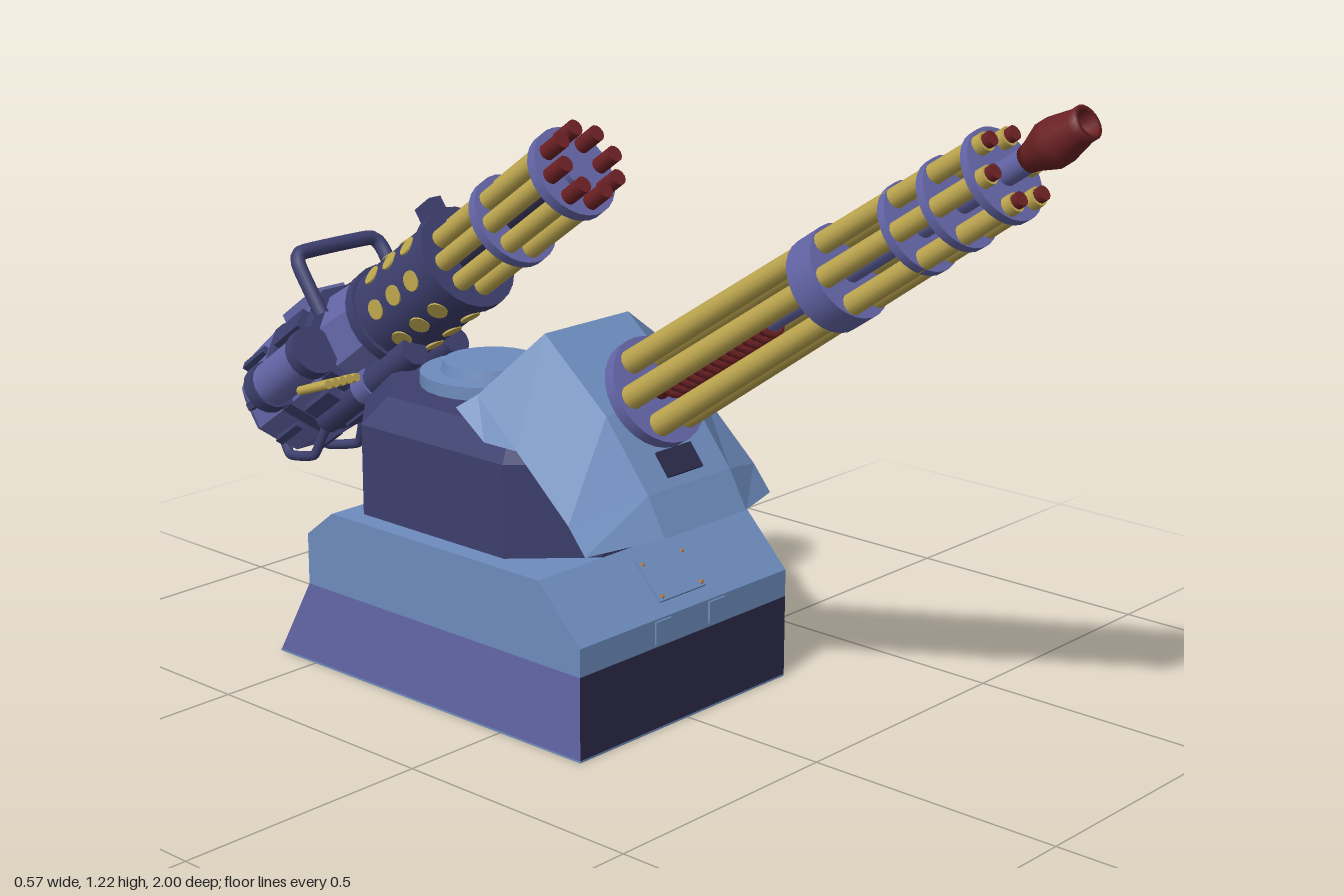
import * as THREE from 'three';
import { ConvexGeometry } from 'three/addons/geometries/ConvexGeometry.js';

const paint = (name, color, extra = {}) => Object.assign(new THREE.MeshStandardMaterial({ color, ...extra }), { name });

export function createModel() {
  const blue = paint('light blue', 0x6d8cbd);
  const blueThin = blue.clone();
  blueThin.side = THREE.DoubleSide;
  const purple = paint('purple', 0x6466a8);
  const navy = paint('navy', 0x3d3f6e);
  const dark = paint('dark navy', 0x2c2b4a);
  const yellow = paint('brass yellow', 0xbfa850);
  const red = paint('dark red', 0x6c2124);
  const orange = paint('orange', 0xb0713a);

  const model = new THREE.Group();
  const add = (parent, name, geo, mat, x = 0, y = 0, z = 0, rx = 0, ry = 0, rz = 0) => {
    const m = new THREE.Mesh(geo, mat);
    m.name = name;
    m.position.set(x, y, z);
    m.rotation.set(rx, ry, rz);
    parent.add(m);
    return m;
  };
  const box = (parent, name, mat, w, h, d, ...at) => add(parent, name, new THREE.BoxGeometry(w, h, d), mat, ...at);
  // cylinder between two heights on a group's own y axis
  const rod = (parent, name, mat, y0, y1, r0, r1 = r0, x = 0, z = 0, sides = 20) =>
    add(parent, name, new THREE.CylinderGeometry(r1, r0, y1 - y0, sides), mat, x, (y0 + y1) / 2, z);
  const around = (n, r, fn, turn = 0) => {
    for (let i = 0; i < n; i++) {
      const a = turn + (i / n) * Math.PI * 2;
      fn(Math.sin(a) * r, Math.cos(a) * r, a);
    }
  };
  // side profile given as [z, y], extruded across x
  const prism = (name, pts, width, mats) => {
    const shape = new THREE.Shape(pts.map(p => new THREE.Vector2(...p)));
    const geo = new THREE.ExtrudeGeometry(shape, { depth: width, bevelEnabled: false });
    geo.rotateY(-Math.PI / 2).translate(width / 2 - 0.005, 0, 0);
    return add(model, name, geo, mats);
  };

  // Base
  prism('lowerBase', [[-0.598, 0.004], [0.2, 0.004], [0.2, 0.16], [-0.51, 0.16]], 0.56, [purple, dark]);
  box(model, 'basePlate', blue, 0.56, 0.004, 0.8, -0.005, 0.002, -0.2);
  prism('upperBase', [[-0.51, 0.16], [0.2, 0.16], [0.2, 0.213], [0.1, 0.315], [-0.44, 0.315], [-0.51, 0.26]], 0.56, blue);
  box(model, 'frontAccessPlate', blue, 0.125, 0.09, 0.009, 0.003, 0.266, 0.152, -0.775);
  for (const x of [-0.05, 0.056]) for (const s of [-1, 1])
    add(model, 'plateBolt', new THREE.SphereGeometry(0.005, 8, 6), orange, x, 0.266 + s * 0.024, 0.156 - s * 0.024);
  for (const x of [-0.07, 0.075]) box(model, 'frontMarker', blue, 0.042, 0.042, 0.008, x, 0.188, 0.2);

  // Turret: chamfered box with a bevelled roof
  const ring = (y, hx, hz, c) => [[hx, hz - c], [hx - c, hz], [-hx + c, hz], [-hx, hz - c]]
    .flatMap(([x, z]) => [new THREE.Vector3(x, y, z - 0.21), new THREE.Vector3(x, y, -z - 0.21)]);
  add(model, 'turret', new ConvexGeometry([...ring(0.3, 0.245, 0.31, 0.125), ...ring(0.49, 0.245, 0.31, 0.125),
    ...ring(0.54, 0.2, 0.27, 0.11)]), navy);
  const hatch = new THREE.Group();
  hatch.name = 'hatch';
  hatch.position.set(0, 0, -0.3);
  model.add(hatch);
  rod(hatch, 'hatchRing', blue, 0.54, 0.565, 0.135, 0.135, 0, 0, 24);
  rod(hatch, 'hatchLid', blue, 0.565, 0.585, 0.095, 0.09, 0, 0, 24);
  box(model, 'sidePanel', navy, 0.025, 0.11, 0.05, 0.257, 0.41, -0.305);
  box(model, 'sidePanelFace', dark, 0.006, 0.09, 0.036, 0.27, 0.41, -0.305);
  add(model, 'sidePanelLamp', new THREE.SphereGeometry(0.009, 10, 8), orange, 0.273, 0.42, -0.305);
  box(model, 'rearVent', purple, 0.15, 0.1, 0.024, 0, 0.42, -0.528);
  for (let i = 0; i < 4; i++) box(model, 'ventSlat', i % 2 ? orange : dark, 0.12, 0.012, 0.008, 0, 0.385 + i * 0.023, -0.54);

  // Curved gun shield, built from columns of [y, z]
  const centre = [[0.38, 0.24], [0.45, 0.2], [0.575, 0.1], [0.7, -0.05]];
  const wing = [[0.367, 0.18], [0.415, 0.14], [0.525, 0.015], [0.61, -0.08]];
  const tip = [null, null, [0.54, -0.03], [0.59, -0.1]];
  const columns = [[-0.285, tip], [-0.25, wing], [-0.11, centre], [0.11, centre], [0.25, wing], [0.285, tip]];
  const verts = [];
  for (let c = 0; c < 5; c++) for (let r = 0; r < 3; r++) {
    const [[xa, a], [xb, b]] = [columns[c], columns[c + 1]];
    if (!a[r] || !b[r]) continue;
    const [p, q, s, t] = [[xa, ...a[r]], [xb, ...b[r]], [xb, ...b[r + 1]], [xa, ...a[r + 1]]];
    verts.push(...p, ...q, ...s, ...p, ...s, ...t);
  }
  const shield = new THREE.BufferGeometry();
  shield.setAttribute('position', new THREE.Float32BufferAttribute(verts, 3));
  shield.computeVertexNormals();
  add(model, 'gunShield', shield, blueThin);
  box(model, 'shieldNotch', dark, 0.09, 0.05, 0.012, 0, 0.485, 0.173, -0.675);
  box(model, 'shieldSlit', dark, 0.04, 0.016, 0.008, 0.165, 0.63, -0.03, -0.85, 0.5, -0.2);
  box(model, 'shieldSlit', dark, 0.035, 0.014, 0.008, 0.205, 0.565, 0.01, -0.75, 0.6, -0.2);

  // Trunnion behind the shield
  add(model, 'trunnion', new THREE.CylinderGeometry(0.085, 0.085, 0.18, 24), orange, 0, 0.55, -0.05, 0, 0, Math.PI / 2);

  // Front gun, own y axis along the barrels
  const front = new THREE.Group();
  front.name = 'frontGun';
  front.position.set(-0.01, 0.605, 0.125);
  front.rotation.x = 0.976;
  model.add(front);
  rod(front, 'gunRoot', red, -0.14, 0, 0.05, 0.045);
  rod(front, 'baseDisc', purple, -0.012, 0.012, 0.103, 0.103, 0, 0, 28);
  rod(front, 'middleRing', purple, 0.46, 0.52, 0.087, 0.087, 0, 0, 28);
  for (const t of [0.685, 0.775, 0.875]) rod(front, 'endDisc', purple, t - 0.008, t + 0.008, 0.082, 0.082, 0, 0, 28);
  around(6, 1, (x, z) => {
    const tube = rod(front, 'barrel', yellow, 0, 0.9, 0.023, 0.017, x * 0.066, z * 0.066, 14);
    tube.rotation.set(-z * 0.011, 0, x * 0.011);
    rod(front, 'barrelTip', red, 0.895, 0.912, 0.013, 0.013, x * 0.061, z * 0.061, 12);
  }, Math.PI / 6);
  rod(front, 'innerTube', purple, 0.3, 0.95, 0.022);
  rod(front, 'springCore', red, 0, 0.32, 0.02);
  for (let i = 0; i < 13; i++)
    add(front, 'springCoil', new THREE.TorusGeometry(0.027, 0.007, 6, 16), red, 0, 0.05 + i * 0.022, 0, Math.PI / 2);
  for (const s of [-1, 1]) box(front, 'sideRail', purple, 0.008, 0.26, 0.022, s * 0.06, 0.5, 0);
  const muzzle = [[0, 0.93], [0.022, 0.93], [0.026, 0.945], [0.04, 0.98], [0.04, 1.0], [0.03, 1.045], [0.03, 1.06], [0.021, 1.06], [0.019, 1.01], [0, 1.01]];
  add(front, 'muzzle', new THREE.LatheGeometry(muzzle.map(p => new THREE.Vector2(...p)), 20), red);

  // Rear gun, own y axis towards its muzzle, -z pointing up from it
  const rear = new THREE.Group();
  rear.name = 'rearGun';
  rear.position.set(0.012, 0.965, -0.1);
  rear.rotation.x = 0.945;
  model.add(rear);
  rod(rear, 'frontDisc', purple, -0.01, 0.012, 0.09, 0.09, 0, 0, 28);
  rod(rear, 'discHub', purple, 0, 0.025, 0.035);
  rod(rear, 'middleDisc', purple, -0.195, -0.175, 0.092, 0.092, 0, 0, 28);
  around(8, 0.064, (x, z) => {
    rod(rear, 'barrel', yellow, -0.4, 0.01, 0.019, 0.019, x, z, 14);
    rod(rear, 'barrelTip', red, 0.01, 0.06, 0.016, 0.016, x, z, 12);
  });
  rod(rear, 'innerCore', dark, -0.4, 0, 0.03);
  rod(rear, 'shroud', navy, -0.6, -0.34, 0.098, 0.098, 0, 0, 24);
  for (const t of [-0.345, -0.59]) rod(rear, 'shroudCollar', navy, t - 0.012, t + 0.012, 0.106, 0.106, 0, 0, 24);
  for (let row = 0; row < 3; row++) around(8, 0.0965, (x, z, a) =>
    add(rear, 'shroudHole', new THREE.CylinderGeometry(0.02, 0.02, 0.006, 14).rotateX(Math.PI / 2), yellow, x, -0.4 - row * 0.062, z, 0, a));

  // Faceted receiver
  const flat = (name, mat, y0, y1, r0, r1 = r0) => {
    const m = rod(rear, name, mat, y0, y1, r0, r1, 0, 0, 8);
    m.geometry = m.geometry.toNonIndexed();
    m.geometry.computeVertexNormals();
    m.rotation.y = Math.PI / 8;
  };
  flat('receiverNeck', purple, -0.7, -0.6, 0.108, 0.1);
  flat('receiver', purple, -0.86, -0.7, 0.118);
  flat('receiverBand', navy, -0.73, -0.695, 0.127);
  flat('receiverBand', navy, -0.88, -0.85, 0.127);
  flat('rearHousing', purple, -0.98, -0.88, 0.118, 0.125);
  flat('rearCap', purple, -1.025, -0.98, 0.085, 0.118);
  flat('rearGrille', navy, -1.035, -1.02, 0.06);
  around(8, 0.117, (x, z, a) => {
    box(rear, 'receiverBlock', navy, 0.045, 0.09, 0.02, x, -0.79, z, 0, a);
    box(rear, 'housingRib', navy, 0.016, 0.08, 0.016, x, -0.93, z, 0, a);
  });
  box(rear, 'topCover', purple, 0.08, 0.12, 0.03, 0, -0.79, -0.12);
  box(rear, 'topWindow', dark, 0.03, 0.035, 0.008, 0, -0.67, -0.102);

  // Side and underside tubes
  rod(rear, 'sideTube', navy, -0.9, -0.4, 0.027, 0.027, 0.12, 0, 14);
  rod(rear, 'sideTubeTip', navy, -0.4, -0.32, 0.018, 0.018, 0.12, 0, 14);
  for (const t of [-0.43, -0.6, -0.78]) rod(rear, 'tubeClamp', purple, t - 0.012, t + 0.012, 0.032, 0.032, 0.12, 0, 14);
  for (const x of [-0.055, 0.055]) {
    rod(rear, 'lowerTube', navy, -0.84, -0.52, 0.03, 0.03, x, 0.1, 14);
    rod(rear, 'lowerTubeCap', purple, -0.7, -0.66, 0.035, 0.035, x, 0.1, 14);
  }
  box(rear, 'sightBracket', navy, 0.03, 0.05, 0.04, 0, -0.37, -0.115);

  // Ammunition feed on the right side
  rod(rear, 'feedDrum', purple, -0.87, -0.69, 0.046, 0.046, -0.14, 0, 16);
  for (const t of [-0.86, -0.7]) rod(rear, 'feedDrumBand', navy, t - 0.014, t + 0.014, 0.051, 0.051, -0.14, 0, 16);
  for (let i = 0; i < 5; i++)
    add(rear, 'cartridge', new THREE.CylinderGeometry(0.009, 0.009, 0.09, 10), yellow, -0.17 + i * 0.018, -0.7, 0.07, 0.3);

  // Carrying handle and rear hose
  const tube = (name, pts, r, mat) => add(rear, name, new THREE.TubeGeometry(
    new THREE.CatmullRomCurve3(pts.map(p => new THREE.Vector3(...p)), false, 'catmullrom', 0.2), 40, r, 10), mat);
  tube('handle', [[-0.1, -0.67, -0.06], [-0.1, -0.67, -0.17], [-0.08, -0.67, -0.195], [0.1, -0.67, -0.195],
    [0.12, -0.67, -0.17], [0.12, -0.67, -0.02]], 0.015, navy);
  for (const s of [-1, 1])
    tube('rearHose', [[s * 0.05, -0.86, 0.11], [s * 0.06, -0.92, 0.145], [s * 0.05, -1.0, 0.11], [s * 0.03, -1.02, 0.05]], 0.01, navy);
  for (let i = 0; i < 5; i++) rod(rear, 'rearPin', dark, -1.05, -1.0, 0.007, 0.007, 0, 0.01 + i * 0.016, 8);

  return model;
}
